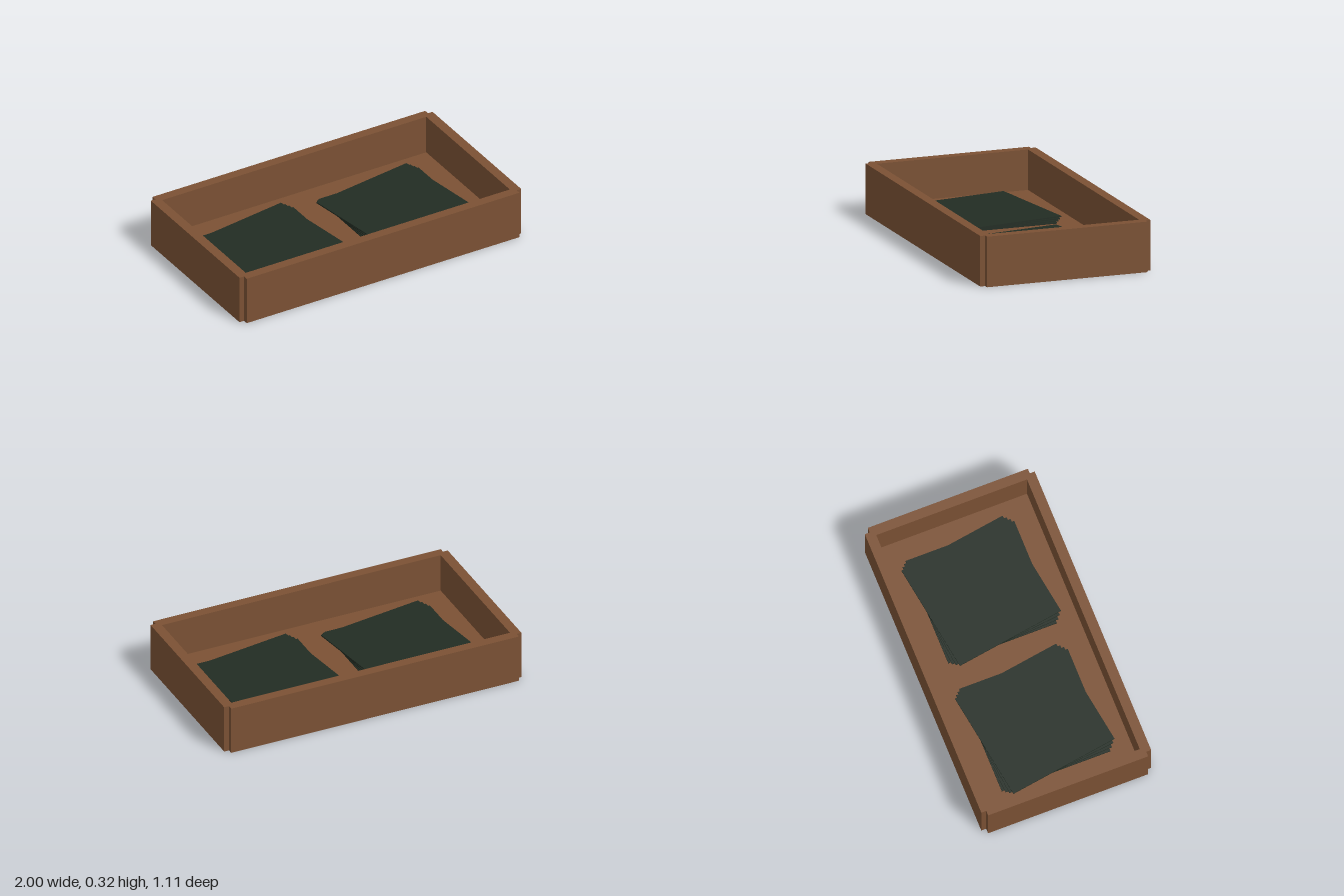
import * as THREE from 'three';

const wood = new THREE.MeshStandardMaterial({ color: 0x7b5134 });
wood.name = 'brown wood';
const slate = new THREE.MeshStandardMaterial({ color: 0x222c23 });
slate.name = 'dark green';

const HEIGHT = 0.317, FLOOR = 0.0635, NOTCH = 0.032;
const X = 1, Z = 0.555, WALL = 0.0625;
const PLATE = 0.71, THICK = 0.0079;

function box(name, w, h, d, material, x, y, z) {
  const mesh = new THREE.Mesh(new THREE.BoxGeometry(w, h, d), material);
  mesh.name = name;
  mesh.position.set(x, y + h / 2, z);
  return mesh;
}

// Rectangular wall ring with a square notch at every outer corner
function createWalls() {
  const a = X - NOTCH, b = Z - NOTCH;
  const shape = new THREE.Shape([
    [-a, -Z], [a, -Z], [a, -b], [X, -b], [X, b], [a, b],
    [a, Z], [-a, Z], [-a, b], [-X, b], [-X, -b], [-a, -b],
  ].map(([x, y]) => new THREE.Vector2(x, y)));
  const i = X - WALL, j = Z - WALL;
  shape.holes.push(new THREE.Path([
    [-i, -j], [-i, j], [i, j], [i, -j],
  ].map(([x, y]) => new THREE.Vector2(x, y))));
  const geometry = new THREE.ExtrudeGeometry(shape, { depth: HEIGHT, bevelEnabled: false });
  geometry.rotateX(-Math.PI / 2);
  const walls = new THREE.Mesh(geometry, wood);
  walls.name = 'trayWalls';
  return walls;
}

// Four thin square plates, each turned a little further than the one below
function createStack(name, x) {
  const stack = new THREE.Group();
  stack.name = name;
  for (let k = 0; k < 4; k++) {
    const plate = box('plate', PLATE, THICK, PLATE, slate, 0, k * THICK, 0);
    plate.rotation.y = k * 0.05;
    stack.add(plate);
  }
  stack.position.set(x, FLOOR, 0);
  return stack;
}

export function createModel() {
  const model = new THREE.Group();
  model.name = 'trayWithPlates';
  model.add(createWalls());
  model.add(box('trayFloor', 2 * (X - WALL), FLOOR - 0.001, 2 * (Z - WALL), wood, 0, 0.001, 0));
  // Square panel let into the underside
  model.add(box('undersidePanel', PLATE, THICK, PLATE, slate, 0, 0, 0));
  model.add(createStack('rightStack', -0.445), createStack('leftStack', 0.445));
  return model;
}
